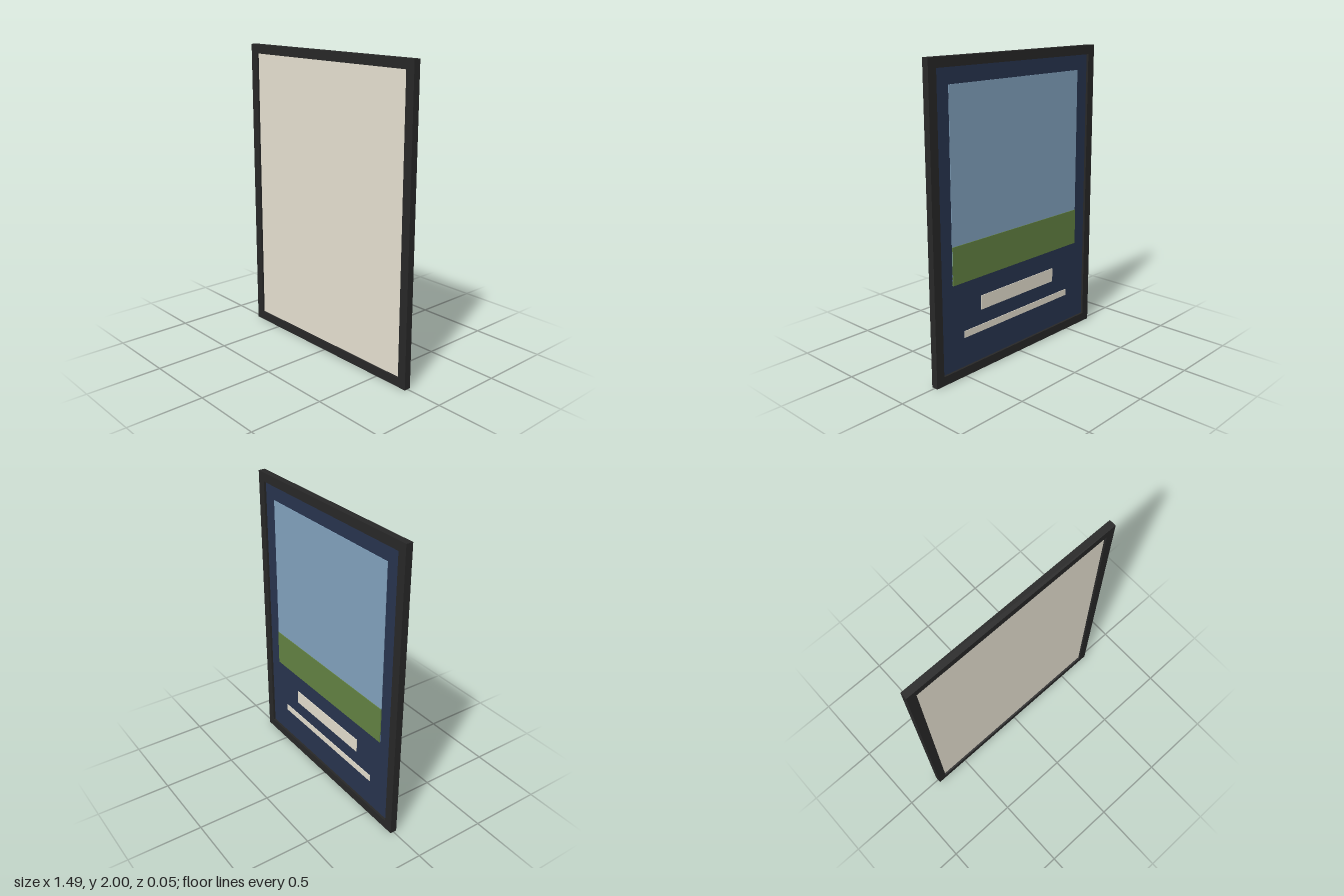
import * as THREE from 'three';

const W = 1.49, H = 2, D = 0.046, BORDER = 0.06;

export function createModel() {
  const group = new THREE.Group();
  const mat = (color) => new THREE.MeshStandardMaterial({ color });
  const cream = mat(0xe8e2d2);

  // Box given by width, y range and z range, centred on x
  function slab(name, w, y0, y1, z0, z1, material) {
    const mesh = new THREE.Mesh(new THREE.BoxGeometry(w, y1 - y0, z1 - z0), material);
    mesh.position.set(0, (y0 + y1) / 2, (z0 + z1) / 2);
    mesh.name = name;
    group.add(mesh);
  }

  // Rectangular frame with an open middle
  const rect = (Type, inset) => {
    const x = W / 2 - inset, y0 = inset, y1 = H - inset;
    return new Type([[-x, y0], [x, y0], [x, y1], [-x, y1]].map(([a, b]) => new THREE.Vector2(a, b)));
  };
  const outline = rect(THREE.Shape, 0);
  outline.holes.push(rect(THREE.Path, BORDER));
  const frameGeo = new THREE.ExtrudeGeometry(outline, { depth: D, bevelEnabled: false });
  frameGeo.translate(0, 0, -D / 2);
  const frame = new THREE.Mesh(frameGeo, mat(0x282828));
  frame.name = 'frame';
  group.add(frame);

  // Two recessed boards, back to back
  const inner = W - 2 * BORDER;
  slab('frontBoard', inner, BORDER, H - BORDER, 0, 0.01, cream);
  slab('backBoard', inner, BORDER, H - BORDER, -0.008, 0, mat(0x283550));

  // Printed panels on the back board
  slab('skyPanel', 1.17, 0.63, 1.84, -0.011, -0.006, mat(0x84a5c1));
  slab('grassPanel', 1.17, 0.625, 0.87, -0.015, -0.006, mat(0x648443));
  slab('titleBar', 0.695, 0.4, 0.495, -0.012, -0.006, cream);
  slab('captionBar', 0.99, 0.255, 0.3, -0.012, -0.006, cream);

  return group;
}
